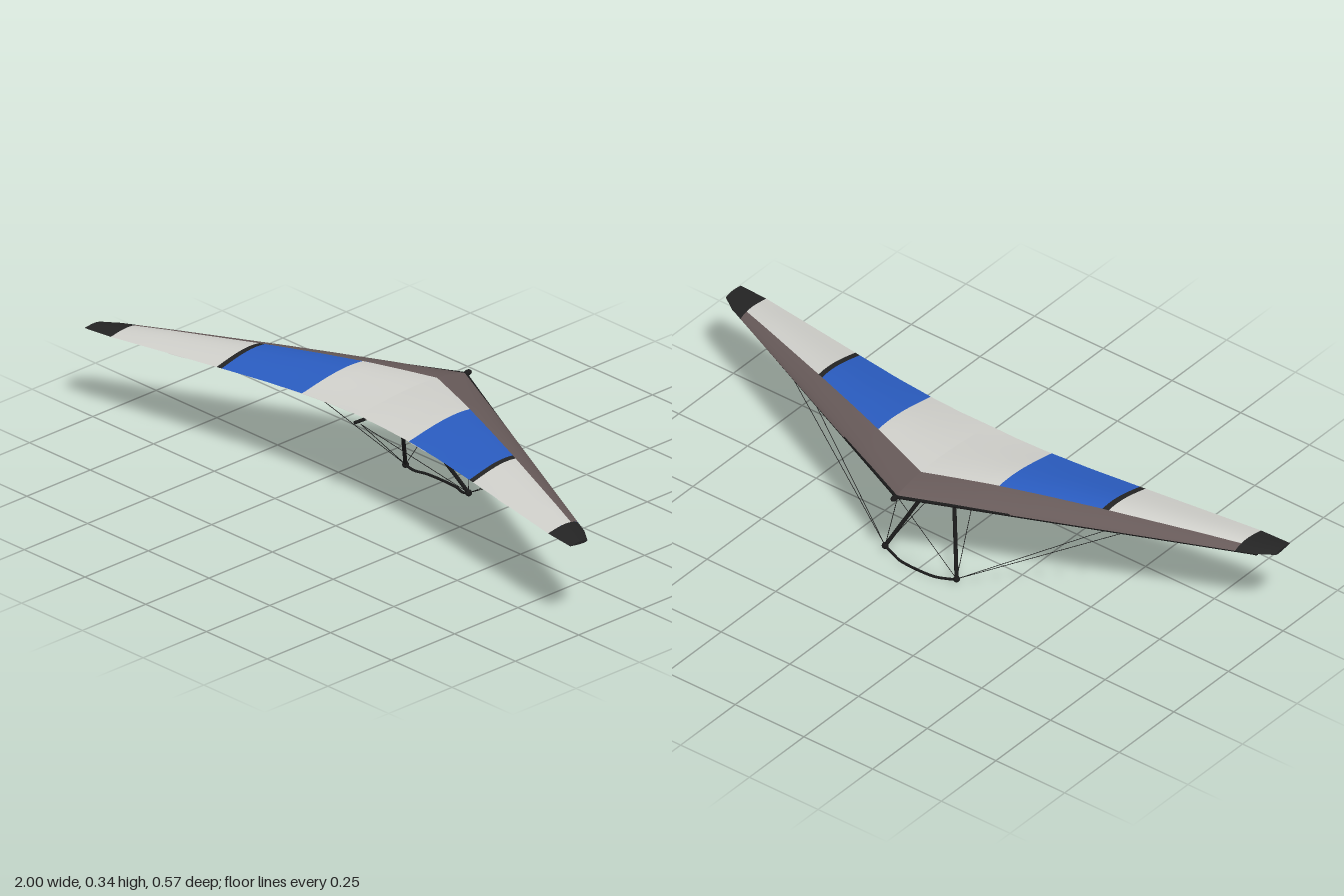
import * as THREE from 'three';

const mat = (name, color, side = THREE.FrontSide) => {
  const m = new THREE.MeshStandardMaterial({ color, side });
  m.name = name;
  return m;
};

// piecewise linear lookup through [x, value] points
const lookup = (pts) => (x) => {
  for (let i = 1; i < pts.length; i++) {
    const [a, va] = pts[i - 1], [b, vb] = pts[i];
    if (x <= b) return va + (vb - va) * (x - a) / (b - a);
  }
  return pts[pts.length - 1][1];
};

// wing planform and section rules, x measured from the centre outwards
const leadZ = lookup([[0, -0.265], [0.95, 0.18], [1, 0.215]]);
const trailZ = lookup([[0, 0.163], [0.1, 0.164], [0.2, 0.17], [0.35, 0.187], [0.5, 0.21], [0.9, 0.275], [1, 0.283]]);
const leadY = (x) => 0.311 - 0.024 * x;
const trailY = (x) => 0.32 - 0.03 * Math.pow(x, 1.3);
const camber = lookup([[0, 0.023], [0.1, 0.028], [0.2, 0.032], [0.35, 0.032], [0.5, 0.029], [0.8, 0.017], [1, 0.005]]);
const billow = lookup([[0, 0.026], [0.3, 0.02], [0.6, 0.011], [1, 0.004]]);
const bandZ = (x) => -0.15 + 0.372 * x;
const bandT = (x) => (bandZ(x) - leadZ(x)) / (trailZ(x) - leadZ(x));

const baseY = (x, t) => leadY(x) + (trailY(x) - leadY(x)) * t;
const upper = (x, t) => baseY(x, t) + camber(x) * Math.sin(Math.PI * Math.pow(t, 0.75));
const lower = (x, t) => baseY(x, t) - billow(x) * Math.sin(Math.PI * Math.pow(t, 0.55));

// a piece of sail between x0..x1 and chord fractions t0(x)..t1(x)
function sailPatch(surface, side, x0, x1, t0, t1, lift = 0) {
  const nx = Math.max(2, Math.ceil((x1 - x0) * 40)), nt = 16;
  const pos = [], idx = [];
  for (let i = 0; i <= nx; i++) {
    const x = x0 + (x1 - x0) * i / nx;
    for (let j = 0; j <= nt; j++) {
      const t = THREE.MathUtils.clamp(t0(x) + (t1(x) - t0(x)) * j / nt, 0, 1);
      pos.push(side * x, surface(x, t) + lift, leadZ(x) + (trailZ(x) - leadZ(x)) * t);
    }
  }
  const up = (surface === upper) === (side > 0);
  for (let i = 0; i < nx; i++) for (let j = 0; j < nt; j++) {
    const a = i * (nt + 1) + j, b = a + 1, c = a + nt + 1, d = c + 1;
    if (up) idx.push(a, b, c, b, d, c);
    else idx.push(a, c, b, b, c, d);
  }
  const g = new THREE.BufferGeometry();
  g.setAttribute('position', new THREE.Float32BufferAttribute(pos, 3));
  g.setIndex(idx);
  g.computeVertexNormals();
  return g;
}

export function createModel() {
  const white = mat('white sail', 0xd0d0cb, THREE.DoubleSide);
  const blue = mat('blue sail', 0x2a5cc0, THREE.DoubleSide);
  const brown = mat('brown leading edge', 0x675a59, THREE.DoubleSide);
  const dark = mat('dark sail trim', 0x242424, THREE.DoubleSide);
  const black = mat('black frame', 0x1a1a1a);

  const model = new THREE.Group();
  model.name = 'hangGlider';
  const add = (name, geometry, material, parent = model) => {
    const m = new THREE.Mesh(geometry, material);
    m.name = name;
    parent.add(m);
    return m;
  };
  const V = (x, y, z) => new THREE.Vector3(x, y, z);
  const rod = (name, a, b, r, parent, sides = 10) => {
    const m = add(name, new THREE.CylinderGeometry(r, r, a.distanceTo(b), sides), black, parent);
    m.position.copy(a).lerp(b, 0.5);
    m.quaternion.setFromUnitVectors(V(0, 1, 0), b.clone().sub(a).normalize());
    return m;
  };
  const ball = (name, p, r, parent) => {
    const m = add(name, new THREE.SphereGeometry(r, 14, 10), black, parent);
    m.position.copy(p);
    return m;
  };
  const zero = () => 0, one = () => 1;

  for (const s of [1, -1]) {
    const wing = new THREE.Group();
    wing.name = s > 0 ? 'leftWing' : 'rightWing';
    model.add(wing);
    const sail = (name, m, surface, x0, x1, t0, t1, lift) =>
      add(name, sailPatch(surface, s, x0, x1, t0, t1, lift), m, wing);

    // upper sail panels
    sail('leadingEdgeBand', brown, upper, 0, 0.9, zero, bandT);
    sail('centrePanel', white, upper, 0, 0.22, bandT, one);
    sail('bluePanel', blue, upper, 0.22, 0.51, bandT, one);
    sail('darkStripe', dark, upper, 0.51, 0.528, bandT, one);
    sail('outerPanel', white, upper, 0.528, 0.9, bandT, one);
    sail('tipTop', dark, upper, 0.9, 1, zero, one);

    // lower sail and its pale patches
    sail('lowerSail', blue, lower, 0, 0.9, zero, one);
    sail('tipBottom', dark, lower, 0.9, 1, zero, one);
    sail('lowerTrailingPatch', white, lower, 0.03, 0.3, (x) => 0.9, one, -0.0015);
    sail('lowerInnerPatch', white, lower, 0.35, 0.7,
      (x) => 0.22 + 1.9 * (x - 0.35), (x) => 0.45 + 1.9 * (x - 0.35), -0.0015);
    sail('lowerOuterPatch', white, lower, 0.66, 0.88,
      (x) => 0.1 + 1.2 * (x - 0.66), (x) => 0.22 + 1.5 * (x - 0.66), -0.0015);

    // closed wing end
    const end = [];
    for (let j = 0; j <= 10; j++) end.push([leadZ(1) + (trailZ(1) - leadZ(1)) * j / 10, upper(1, j / 10)]);
    for (let j = 9; j > 0; j--) end.push([leadZ(1) + (trailZ(1) - leadZ(1)) * j / 10, lower(1, j / 10)]);
    const endShape = new THREE.Shape(end.map(([z, y]) => new THREE.Vector2(-z, y)));
    const endCap = add('tipEnd', new THREE.ShapeGeometry(endShape), dark, wing);
    endCap.rotation.y = Math.PI / 2;
    endCap.position.x = s * 0.999;

    // tubes in the wing
    const tubeEnd = V(s * 0.95, 0.284, 0.19);
    rod('leadingEdgeTube', V(0, 0.31, -0.262), tubeEnd, 0.005, wing);
    ball('leadingEdgeTubeEnd', tubeEnd, 0.006, wing);
    rod('crossTube', V(0, 0.298, -0.02), V(s * 0.6, 0.293, 0.025), 0.004, wing);

    // control frame upright and rigging wires
    const corner = V(s * 0.13, 0.016, -0.15);
    const upright = rod('upright', V(s * 0.004, 0.298, -0.008), corner, 0.006, wing);
    upright.name = 'controlUpright';
    ball('cornerFitting', corner, 0.01, wing);
    rod('frontWire', corner, V(0, 0.306, -0.256), 0.001, wing, 6);
    rod('rearWire', corner, V(0, 0.288, 0.152), 0.001, wing, 6);
    rod('sideWire', corner, V(s * 0.6, 0.294, 0.02), 0.001, wing, 6);
    rod('sideRearWire', corner, V(s * 0.57, 0.297, 0.03), 0.001, wing, 6);
  }

  // keel, nose and frame apex
  rod('keel', V(0, 0.309, -0.27), V(0, 0.293, -0.01), 0.005);
  rod('keelRear', V(0, 0.293, -0.01), V(0, 0.3, 0.175), 0.005);
  const nose = ball('noseCap', V(0, 0.311, -0.271), 0.009);
  nose.scale.set(1, 1, 1.55);
  ball('apexFitting', V(0, 0.298, -0.008), 0.01);

  // curved base bar
  const bar = new THREE.CatmullRomCurve3([
    V(-0.13, 0.014, -0.15), V(-0.1, 0.006, -0.155), V(-0.06, 0.004, -0.168),
    V(0.06, 0.004, -0.168), V(0.1, 0.006, -0.155), V(0.13, 0.014, -0.15),
  ]);
  add('baseBar', new THREE.TubeGeometry(bar, 40, 0.004, 8), black);

  return model;
}
